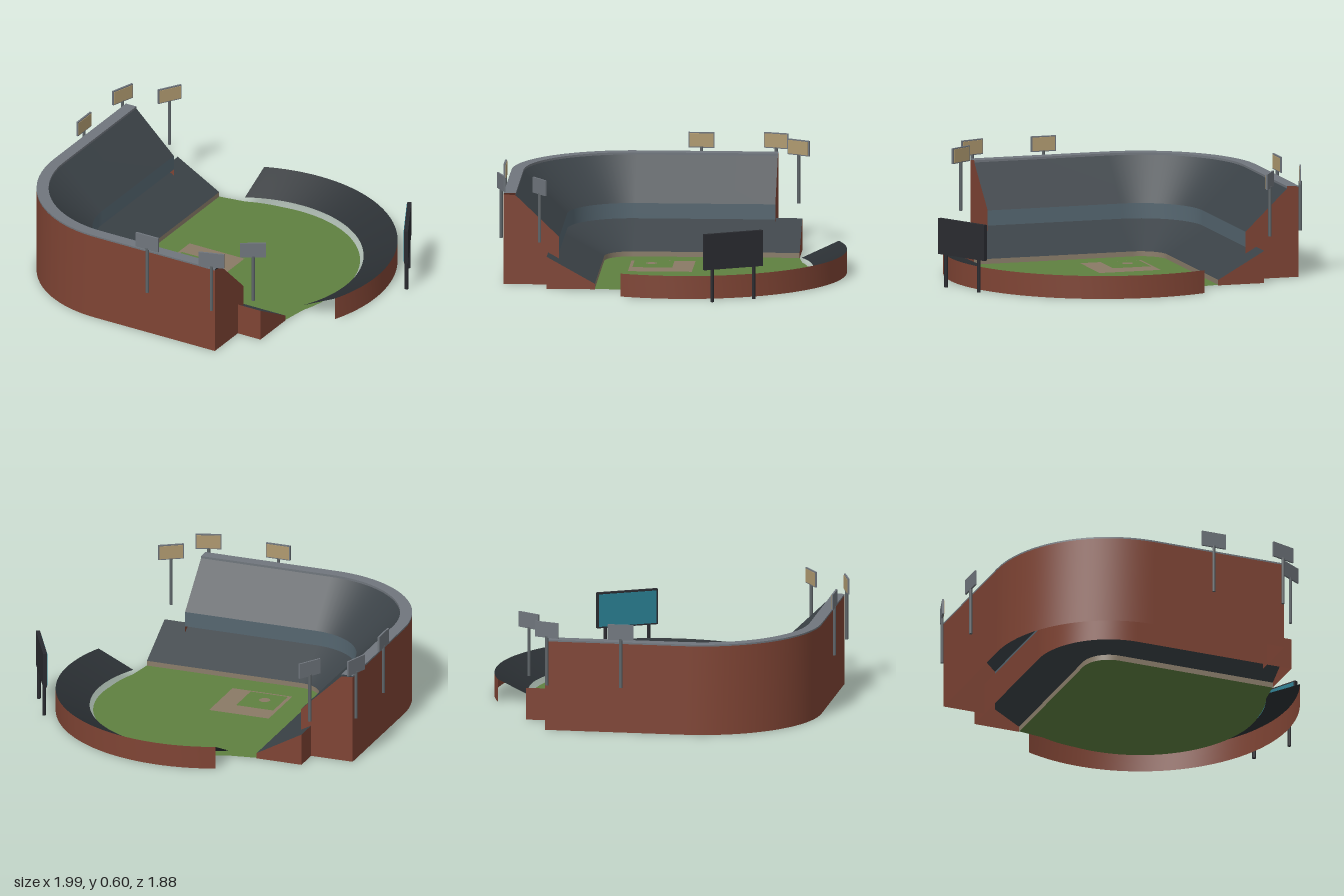
import * as THREE from 'three';

const mat = (color) => new THREE.MeshStandardMaterial({ color, side: THREE.DoubleSide, roughness: 0.9 });
const M = {
  brick: mat(0x7f4434), seats: mat(0x3b4247), bleacher: mat(0x2b3034), fascia: mat(0x556670),
  concrete: mat(0x70767d), kerb: mat(0x8a7d6a), grass: mat(0x5f8040), dirt: mat(0x8a7a66),
  pole: mat(0x5f666a), lamp: mat(0xb09a70), dark: mat(0x2a2b30), screen: mat(0x2a7f92),
};

function add(parent, name, geometry, material, x = 0, y = 0, z = 0) {
  const mesh = new THREE.Mesh(geometry, material);
  mesh.name = name;
  mesh.position.set(x, y, z);
  parent.add(mesh);
  return mesh;
}

// Sheet between two rows of points of equal length
function ribbon(a, b) {
  const pos = [], idx = [];
  a.forEach((p, i) => {
    pos.push(...p, ...b[i]);
    if (i) idx.push(2 * i - 2, 2 * i - 1, 2 * i, 2 * i - 1, 2 * i + 1, 2 * i);
  });
  const g = new THREE.BufferGeometry();
  g.setAttribute('position', new THREE.Float32BufferAttribute(pos, 3));
  g.setIndex(idx);
  g.computeVertexNormals();
  return g;
}

// L-shaped path round home plate: offset d from the field edge, leg length L
const CORNER = 0.25, INNER = 0.15;
function standRow(d, y, L) {
  const r = INNER + d, row = [[L, y, CORNER + r]];
  for (let i = 0; i <= 24; i++) {
    const a = Math.PI / 2 * (1 + i / 24);
    row.push([-CORNER + r * Math.cos(a), y, CORNER + r * Math.sin(a)]);
  }
  row.push([-CORNER - r, y, -L]);
  return row;
}

// Outfield arc, cut square at x = -0.25 and z = 0.25
const OUT = 0.066;
function arcRow(r, y, shrink = 0, n = 48) {
  const half = Math.asin((CORNER + OUT) / r), row = [];
  for (let i = 0; i <= n; i++) {
    const t = i / n, a = -half + t * (Math.PI / 2 + 2 * half);
    const q = r - shrink * Math.min(1, 8 * t, 8 * (1 - t));
    row.push([OUT + q * Math.cos(a), y, -OUT - q * Math.sin(a)]);
  }
  return row;
}

// Flat end walls closing both legs of a stand, from a (d, y) outline
function endWalls(parent, name, outline, L) {
  const shape = new THREE.Shape(outline.map(([d, y]) => new THREE.Vector2(d, y)));
  const first = add(parent, name, new THREE.ShapeGeometry(shape), M.brick, L, 0, CORNER + INNER);
  first.rotation.y = -Math.PI / 2;
  const second = add(parent, name, new THREE.ShapeGeometry(shape), M.brick, -CORNER - INNER, 0, -L);
  second.rotation.y = Math.PI;
}

function flat(parent, name, shape, material, y) {
  add(parent, name, new THREE.ShapeGeometry(shape, 24), material, 0, y, 0).rotation.x = -Math.PI / 2;
}

function square(lo, hi) {
  return new THREE.Shape([[lo, lo], [hi, lo], [hi, hi], [lo, hi]].map((p) => new THREE.Vector2(...p)));
}

function floodlight(parent, x, z, angle) {
  const g = new THREE.Group();
  g.name = 'floodlight';
  g.position.set(x, 0, z);
  g.rotation.y = angle;
  add(g, 'lightPole', new THREE.CylinderGeometry(0.009, 0.009, 0.27, 8), M.pole, 0, 0.385, 0);
  add(g, 'lightHousing', new THREE.BoxGeometry(0.14, 0.085, 0.01), M.concrete, 0, 0.555, 0);
  add(g, 'lampPanel', new THREE.BoxGeometry(0.128, 0.073, 0.004), M.lamp, 0, 0.555, -0.006);
  parent.add(g);
}

export function createModel() {
  const model = new THREE.Group();
  model.name = 'ballpark';
  const park = new THREE.Group();
  park.name = 'park';
  park.rotation.y = THREE.MathUtils.degToRad(10);
  model.add(park);

  // Field, infield and mound
  const LOW = 0.645, HIGH = 0.503;
  const outline = [...standRow(0, 0, LOW).reverse(), ...arcRow(0.68, 0, 0.022)];
  // stand row runs left to right, then the outfield arc right to left
  flat(park, 'field', new THREE.Shape(outline.map(([x, , z]) => new THREE.Vector2(x, -z))), M.grass, 0.003);
  flat(park, 'infieldDirt', square(-0.253, 0.092), M.dirt, 0.006);
  flat(park, 'infieldGrass', square(-0.235, -0.02), M.grass, 0.009);
  const mound = new THREE.Shape().absarc(-0.139, -0.139, 0.03, 0, Math.PI * 2);
  flat(park, 'mound', mound, M.dirt, 0.012);

  // Grandstand sheets: name, material, leg length, from (d, y) to (d, y)
  const sheets = [
    ['fieldKerb', M.kerb, LOW, [0, 0], [0, 0.03]],
    ['lowerDeck', M.seats, LOW, [0, 0.03], [0.26, 0.175]],
    ['lowerBackWall', M.brick, LOW, [0.26, 0], [0.26, 0.175]],
    ['upperFascia', M.fascia, HIGH, [0.2, 0.177], [0.2, 0.26]],
    ['upperDeck', M.seats, HIGH, [0.2, 0.26], [0.435, 0.485]],
    ['walkwayLip', M.concrete, HIGH, [0.435, 0.485], [0.435, 0.497]],
    ['walkway', M.concrete, HIGH, [0.435, 0.497], [0.5, 0.497]],
    ['walkwayEdge', M.concrete, HIGH, [0.5, 0.488], [0.5, 0.497]],
    ['outerWall', M.brick, HIGH, [0.5, 0], [0.5, 0.488]],
  ];
  for (const [name, material, L, a, b] of sheets) {
    add(park, name, ribbon(standRow(...a, L), standRow(...b, L)), material);
  }
  endWalls(park, 'lowerEndWall', [[0, 0], [0.26, 0], [0.26, 0.175], [0, 0.03]], LOW);
  endWalls(park, 'upperEndWall', [[0.2, 0], [0.5, 0], [0.5, 0.49], [0.435, 0.485], [0.2, 0.26]], HIGH);

  // Outfield bleachers
  add(park, 'bleacherDeck', ribbon(arcRow(0.677, 0.03), arcRow(0.86, 0.125)), M.bleacher);
  add(park, 'bleacherWall', ribbon(arcRow(0.86, 0), arcRow(0.86, 0.125)), M.brick);

  // Floodlights, mirrored across the diagonal through home plate
  for (const [x, z, deg] of [[0.087, 0.914, 0], [0.49, 0.914, 18], [0.623, 0.699, 32]]) {
    const a = THREE.MathUtils.degToRad(deg);
    floodlight(park, x, z, a);
    floodlight(park, -z, -x, -Math.PI / 2 - a);
  }

  // Scoreboard on two legs, facing home plate
  const board = new THREE.Group();
  board.name = 'scoreboard';
  board.position.set(0.878, 0, -0.522);
  board.rotation.y = -0.907;
  add(board, 'boardCase', new THREE.BoxGeometry(0.345, 0.195, 0.022), M.dark, 0, 0.275, 0);
  add(board, 'boardScreen', new THREE.BoxGeometry(0.325, 0.178, 0.004), M.screen, 0, 0.275, 0.012);
  for (const s of [-1, 1]) {
    add(board, 'boardLeg', new THREE.CylinderGeometry(0.01, 0.01, 0.19, 8), M.dark, s * 0.123, 0.095, 0);
  }
  model.add(board);
  return model;
}
